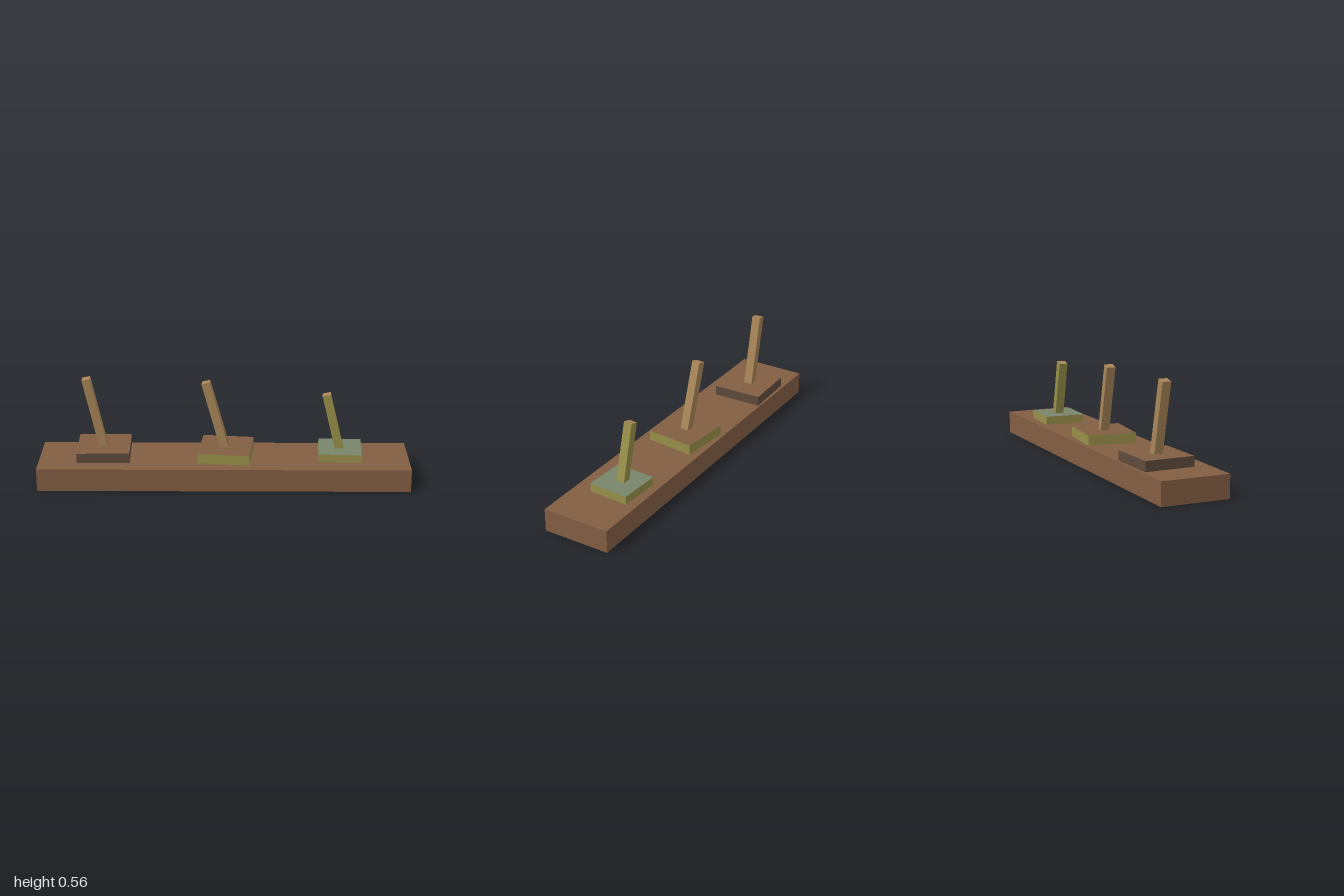
import * as THREE from 'three';

const paint = (name, color) => {
  const m = new THREE.MeshStandardMaterial({ color, side: THREE.DoubleSide });
  m.name = name;
  return m;
};

// Chosen faces of a box standing on y = 0
const SIDES = [0, 1, 4, 5], TOP = [2];
function boxFaces(w, h, d, faces) {
  const g = new THREE.BoxGeometry(w, h, d).translate(0, h / 2, 0);
  const index = Array.from(g.index.array);
  g.setIndex(faces.flatMap((f) => index.slice(f * 6, f * 6 + 6)));
  g.clearGroups();
  return g;
}

function addMesh(parent, name, geometry, material) {
  const mesh = new THREE.Mesh(geometry, material);
  mesh.name = name;
  parent.add(mesh);
  return mesh;
}

export function createModel() {
  const brown = paint('brown', 0x835e43);
  const tan = paint('tan', 0xa88558);
  const olive = paint('olive', 0x98904a);
  const sage = paint('sage', 0x78856b);
  const umber = paint('umber', 0x5e4b3c);

  const model = new THREE.Group();
  model.name = 'leverBoard';

  // Hollow base, open underneath
  const baseHeight = 0.125;
  addMesh(model, 'base', boxFaces(2, baseHeight, 0.374, [...SIDES, ...TOP]), brown);

  // Three turned plates, each with a leaning stick
  const levers = [
    { name: 'tallLever', x: -0.653, z: -0.037, yaw: 0.025, w: 0.285, h: 0.055, d: 0.273,
      lean: 0.211, length: 0.416, side: umber, top: brown, stick: tan },
    { name: 'middleLever', x: 0.01, z: -0.019, yaw: -0.1, w: 0.28, h: 0.055, d: 0.268,
      lean: 0.272, length: 0.404, side: olive, top: brown, stick: tan },
    { name: 'shortLever', x: 0.63, z: -0.025, yaw: -0.05, w: 0.232, h: 0.046, d: 0.225,
      lean: 0.24, length: 0.336, side: olive, top: sage, stick: olive },
  ];
  for (const l of levers) {
    const lever = new THREE.Group();
    lever.name = l.name;
    lever.position.set(l.x, baseHeight, l.z);
    lever.rotation.y = l.yaw;
    addMesh(lever, 'plateSides', boxFaces(l.w, l.h, l.d, SIDES), l.side);
    addMesh(lever, 'plateTop', boxFaces(l.w, l.h, l.d, TOP), l.top);

    // Stick pivots in the middle of its plate
    const stick = new THREE.Group();
    stick.name = 'stick';
    stick.position.set(0, l.h / 2, -0.002);
    stick.rotation.z = l.lean;
    addMesh(stick, 'stickSides', boxFaces(0.045, l.length, 0.048, SIDES), l.stick);
    addMesh(stick, 'stickEnd', boxFaces(0.045, l.length, 0.048, TOP), tan);
    lever.add(stick);
    model.add(lever);
  }
  return model;
}
